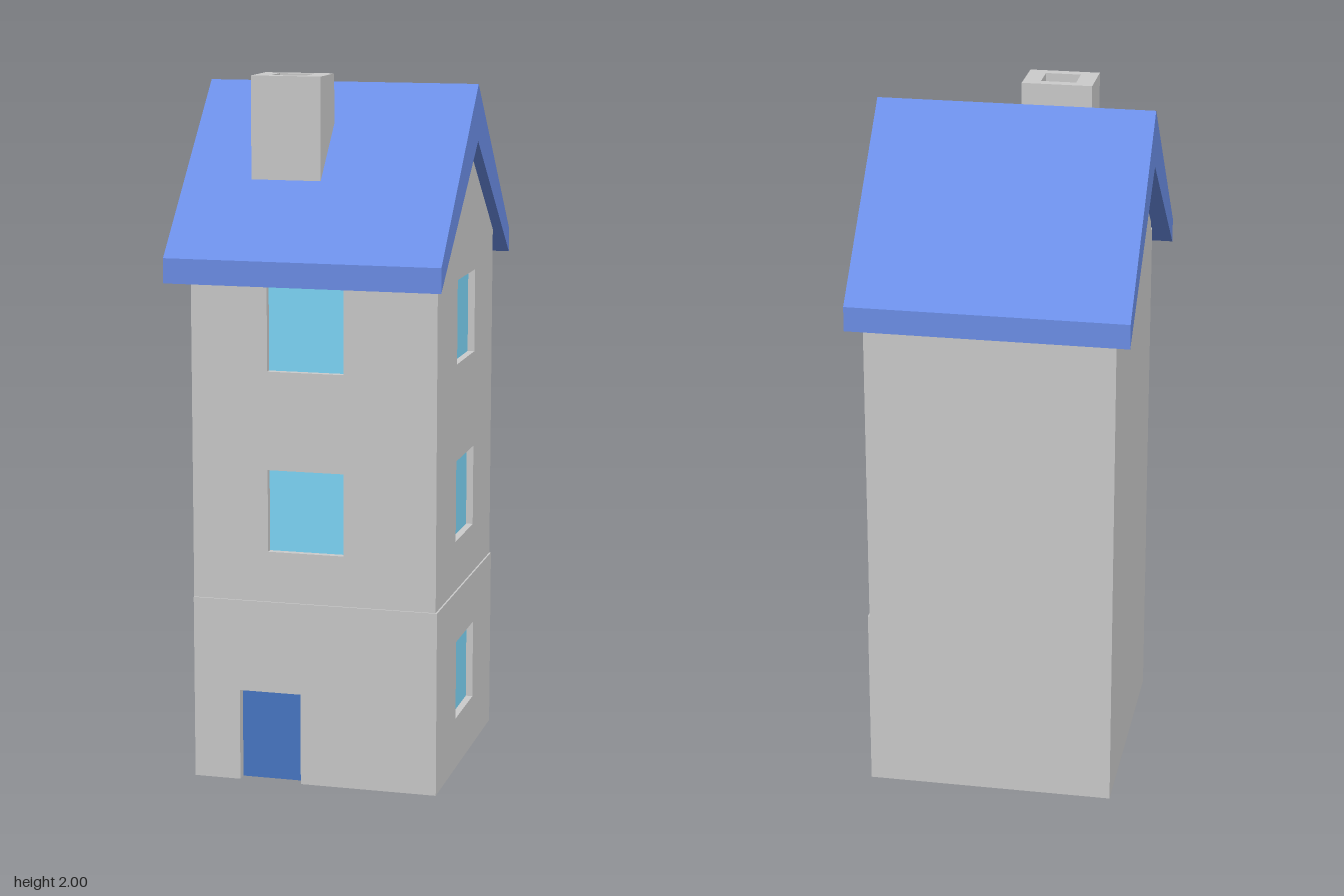
import * as THREE from 'three';

const mat = (color) => new THREE.MeshStandardMaterial({ color, flatShading: true });
const WALL = mat(0xcccccc), ROOF = mat(0x6c8fe8), GLASS = mat(0x7fd9fb), DOOR = mat(0x4878c5);

const polygon = (points) => new THREE.Shape(points.map(([x, y]) => new THREE.Vector2(x, y)));
const rect = (x0, x1, y0, y1) => [[x0, y0], [x1, y0], [x1, y1], [x0, y1]];

// Extrudes an outline along +z, from z0 to z1
function slab(name, points, z0, z1, material, holes = []) {
  const shape = polygon(points);
  shape.holes = holes.map((h) => polygon([...h].reverse()));
  const geometry = new THREE.ExtrudeGeometry(shape, { depth: z1 - z0, bevelEnabled: false });
  geometry.translate(0, 0, z0);
  const mesh = new THREE.Mesh(geometry, material);
  mesh.name = name;
  return mesh;
}

export function createModel() {
  const house = new THREE.Group();
  house.name = 'towerHouse';

  // Parts drawn in profile (local x = -z) and extruded along world x
  const sideways = new THREE.Group();
  sideways.name = 'sideParts';
  sideways.rotation.y = Math.PI / 2;
  house.add(sideways);

  const T = 0.035; // outer wall skin, which gives the openings their depth
  const gable = (left, right, y0) =>
    [[left, y0], [right, y0], [right, 1.812 - 0.813 * right], [0, 1.812], [left, 1.812 + 0.813 * left]];

  // Inner body behind the front and right wall skins
  sideways.add(slab('body', gable(-0.335, 0.36, 0), -0.345, 0.33, WALL));

  // Storeys: front and right walls with cut openings and recessed panes
  const storeys = [
    { y0: 0, y1: 0.53, win: [0.15, 0.38], front: 0.37, right: 0.365, shift: -0.005 },
    { y0: 0.53, y1: 1.06, win: [0.675, 0.91], front: 0.365, right: 0.36, shift: 0 },
    { y0: 1.06, y1: 1.51, win: [1.19, 1.43], front: 0.365, right: 0.36, shift: 0 },
  ];
  storeys.forEach(({ y0, y1, win, front, right, shift }, i) => {
    const opening = rect(-0.125, 0.095, ...win);
    if (i === 0) {
      // Ground floor wall is notched around the doorway
      house.add(slab('frontWall', [[-0.345, 0], [-0.21, 0], [-0.21, 0.265], [-0.03, 0.265],
        [-0.03, 0], [right - T, 0], [right - T, y1], [-0.345, y1]], front - T, front, WALL));
      house.add(slab('door', rect(-0.21, -0.03, 0, 0.265), front - T, front - 0.03, DOOR));
    } else {
      house.add(slab('frontWall', rect(-0.345, right - T, y0, y1), front - T, front, WALL, [opening]));
      house.add(slab('frontWindow', opening, front - T, front - 0.02, GLASS));
    }
    const sideOpening = rect(-0.115 + shift, 0.115 + shift, ...win);
    const outline = i === 2 ? gable(-front, 0.36, y0) : rect(-front, 0.36, y0, y1);
    sideways.add(slab('rightWall', outline, right - T, right, WALL, [sideOpening]));
    sideways.add(slab('rightWindow', sideOpening, right - T, right - 0.02, GLASS));
  });

  // Roof: pitched chevron, thicker at the ridge
  sideways.add(slab('roof', [[-0.455, 1.44], [0, 1.81], [0.455, 1.44], [0.455, 1.51],
    [0, 1.97], [-0.455, 1.51]], -0.395, 0.39, ROOF));

  // Chimney with an open flue, standing through the front slope
  const chimney = new THREE.Group();
  chimney.name = 'chimney';
  const stack = slab('stack', rect(-0.2, 0, -0.255, -0.11), 1.7, 2, WALL,
    [rect(-0.15, -0.05, -0.225, -0.14)]);
  const flue = slab('flueFloor', rect(-0.15, -0.05, -0.225, -0.14), 1.7, 1.9, WALL);
  chimney.add(stack, flue);
  chimney.rotation.x = -Math.PI / 2;
  house.add(chimney);

  return house;
}
